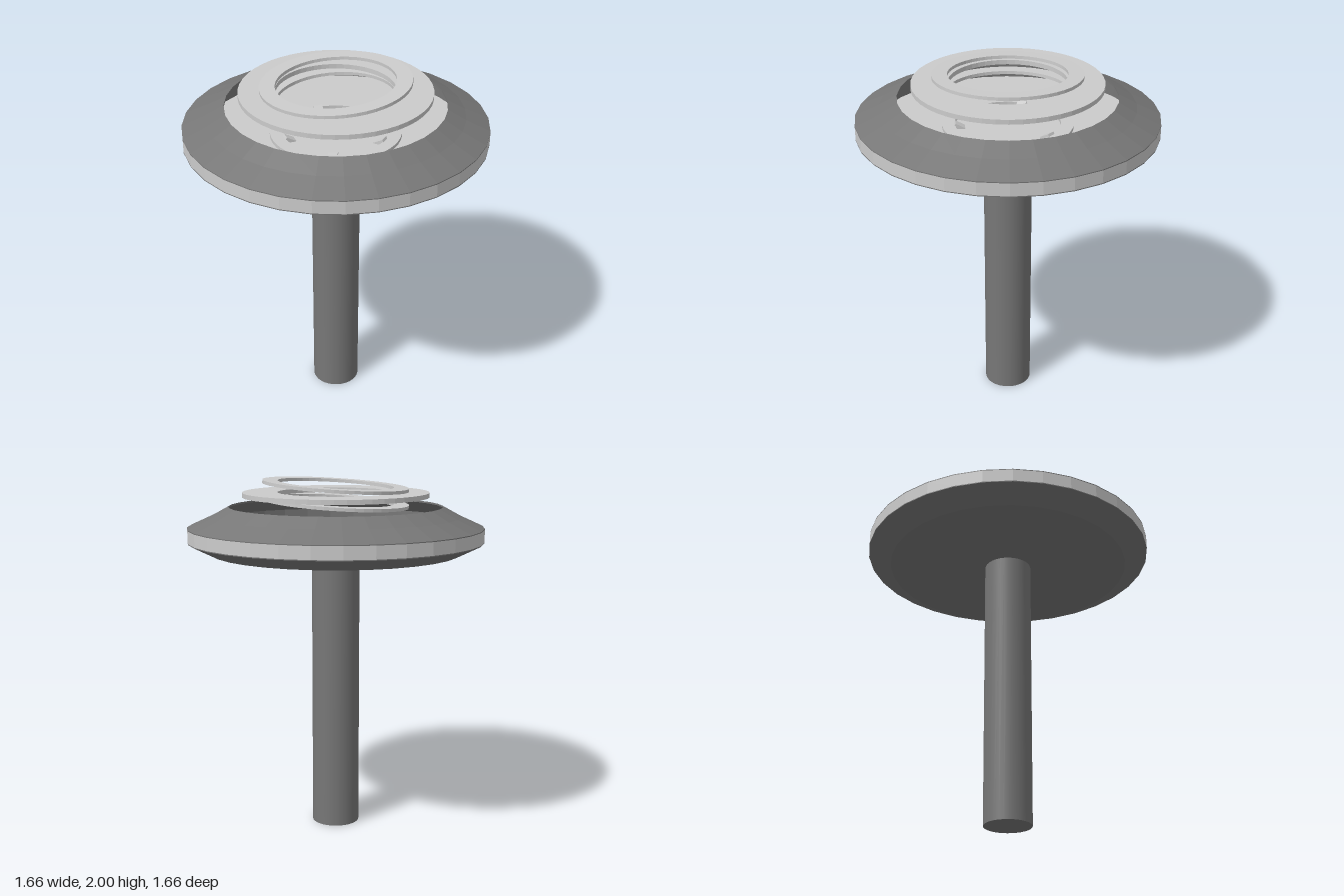
import * as THREE from 'three';

const light = new THREE.MeshStandardMaterial({ color: 0xcccccc, flatShading: true });
const dark = new THREE.MeshStandardMaterial({ color: 0x777777, flatShading: true });
const darkSmooth = new THREE.MeshStandardMaterial({ color: 0x777777 });

function lathe(name, points, segments, material) {
  const profile = points.map(([r, y]) => new THREE.Vector2(r, y));
  const mesh = new THREE.Mesh(new THREE.LatheGeometry(profile, segments), material);
  mesh.name = name;
  return mesh;
}

// Flat ring with a rectangular section, centred on its own height
function washer(name, inner, outer, thickness, y) {
  const h = thickness / 2;
  const mesh = lathe(name, [[inner, -h], [outer, -h], [outer, h], [inner, h], [inner, -h]], 48, light);
  mesh.position.y = y;
  return mesh;
}

export function createModel() {
  const model = new THREE.Group();
  model.name = 'springPlunger';

  // Round stem
  const stem = new THREE.Mesh(new THREE.CylinderGeometry(0.135, 0.135, 1.6, 32), darkSmooth);
  stem.name = 'stem';
  stem.position.y = 0.8;
  model.add(stem);

  // Dark tapered underside of the head
  model.add(lathe('headBase', [[0, 1.59], [0.7, 1.59], [0.832, 1.655], [0.832, 1.66]], 32, dark));

  // Light rim band
  model.add(lathe('rimBand', [[0.832, 1.66], [0.832, 1.73]], 32, light));

  // Light floor, reaching out under the cover
  model.add(lathe('floor', [[0.74, 1.67], [0, 1.67]], 32, light));

  // Dark hollow cover with an open top
  model.add(lathe('cover', [
    [0.832, 1.73], [0.832, 1.735], [0.7, 1.795], [0.6, 1.85],
    [0.6, 1.84], [0.7, 1.785], [0.74, 1.765], [0.74, 1.67],
  ], 32, dark));

  // Low seat ring on the floor
  model.add(washer('seatRing', 0.29, 0.36, 0.02, 1.68));

  // Teeth inside the seat ring, sloping down to the centre
  const teeth = new THREE.Group();
  teeth.name = 'seatTeeth';
  for (const degrees of [52, 119, 163, 208, 275, 342]) {
    const pivot = new THREE.Group();
    pivot.name = 'toothPivot';
    pivot.rotation.y = THREE.MathUtils.degToRad(degrees);
    const tooth = new THREE.Mesh(new THREE.BoxGeometry(0.06, 0.03, 0.05), light);
    tooth.name = 'tooth';
    tooth.position.set(0.268, 1.675, 0);
    tooth.rotation.z = 0.5;
    pivot.add(tooth);
    teeth.add(pivot);
  }
  model.add(teeth);

  // Tilted spring rings either side of a level plate
  for (const [name, y] of [['lowerSpringRing', 1.873], ['upperSpringRing', 1.965]]) {
    const ring = washer(name, 0.325, 0.41, 0.018, y);
    ring.rotation.z = 0.063;
    model.add(ring);
  }
  model.add(washer('springPlate', 0.325, 0.523, 0.026, 1.915));

  return model;
}
